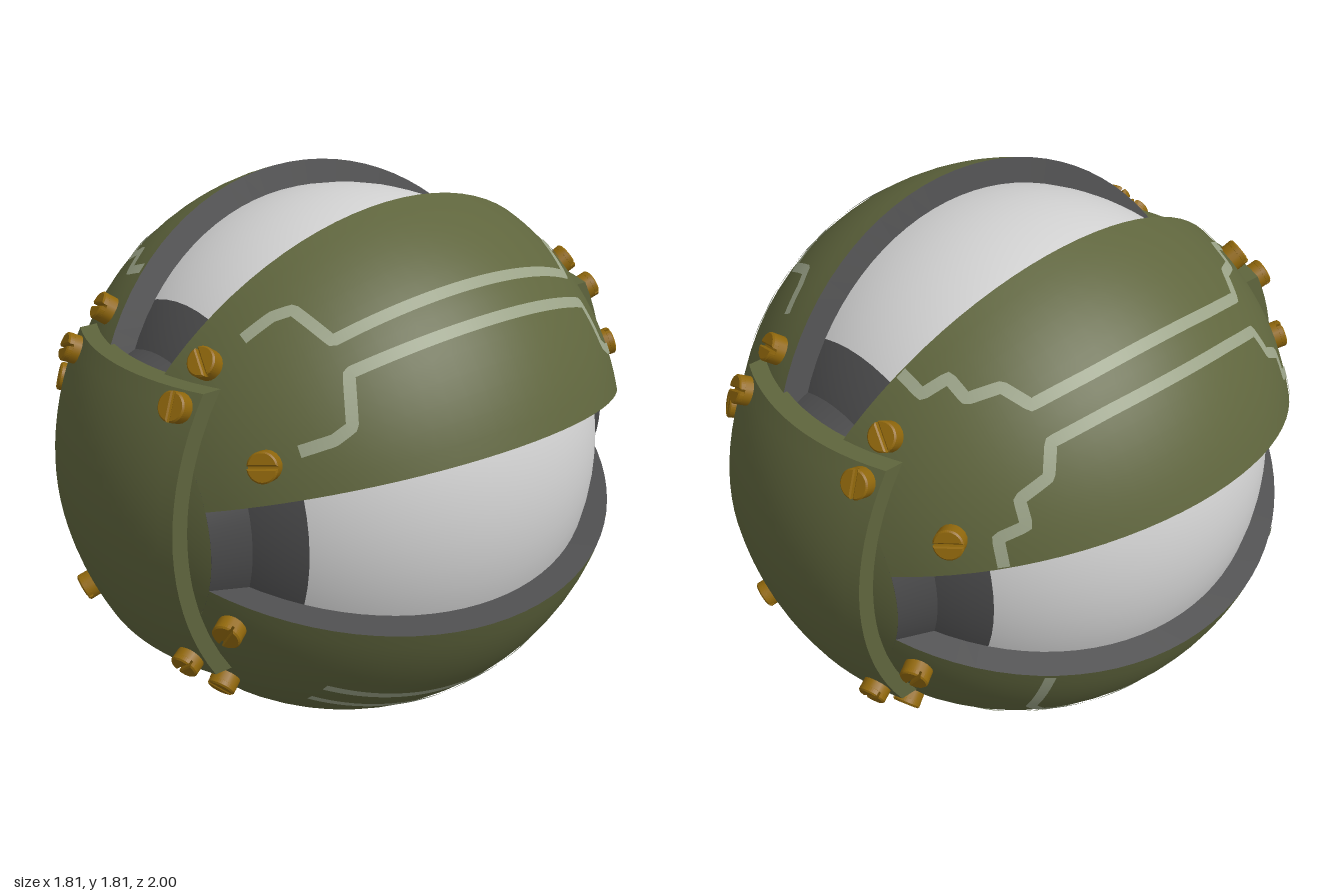
import * as THREE from 'three';

const CY = 0.905, R = 0.952, RI = 0.868, RAD = Math.PI / 180;
const mat = (name, color, side = THREE.FrontSide) => {
  const m = new THREE.MeshStandardMaterial({ color, side });
  m.name = name;
  return m;
};

export function createModel() {
  const olive = mat('olive', 0x5f653d);
  const dark = mat('darkGrey', 0x4b4b4c, THREE.DoubleSide);
  const pale = mat('paleGrey', 0xd2d2d2);
  const brass = mat('brass', 0x91680c);
  const paint = mat('palePaint', 0x9aa287, THREE.DoubleSide);

  const model = new THREE.Group();
  model.name = 'armouredSphere';
  const body = new THREE.Group();
  body.name = 'body';
  body.position.y = CY;
  model.add(body);
  const add = (name, geo, material, parent = body) => {
    const m = new THREE.Mesh(geo, material);
    m.name = name;
    parent.add(m);
    return m;
  };
  // Moves every vertex of a geometry by a rule
  const warp = (geo, rule) => {
    const p = geo.attributes.position, v = new THREE.Vector3();
    for (let i = 0; i < p.count; i++) {
      rule(v.fromBufferAttribute(p, i));
      p.setXYZ(i, v.x, v.y, v.z);
    }
    geo.computeVertexNormals();
    return geo;
  };
  // Point on a sphere whose poles lie on z
  const onSphere = (r, az, theta, v = new THREE.Vector3()) => v.set(
    r * Math.sin(theta) * Math.cos(az), r * Math.sin(theta) * Math.sin(az), r * Math.cos(theta));
  const band = (r, t0, t1, rows) =>
    new THREE.SphereGeometry(r, 64, rows, 0, Math.PI * 2, t0, t1 - t0).rotateX(Math.PI / 2);

  // Inner core: pale belt with dark ends
  const tCore = Math.acos(0.62 / RI);
  add('coreBelt', band(RI, tCore, Math.PI - tCore, 24), pale);
  add('coreFrontEnd', band(RI, 0, tCore, 10), dark);
  add('coreBackEnd', band(RI, Math.PI - tCore, Math.PI, 10), dark);

  // Four shell segments with slots between them
  const tCap = Math.asin(0.43 / R);
  for (let q = 0; q < 4; q++) {
    const geo = warp(new THREE.BoxGeometry(1, 1, 1, 14, 32, 1), v =>
      onSphere(v.z > 0 ? R : 0.85, (45 + 90 * q + 54 * v.x) * RAD,
        Math.PI / 2 - v.y * (Math.PI - 2 * tCap), v));
    add('shellSegment' + q, geo, [dark, dark, dark, dark, olive, dark]);
  }

  // Bolt head with a screwdriver slot
  const half = new THREE.Shape();
  half.absarc(0, 0, 0.042, 0.2, Math.PI - 0.2, false);
  half.closePath();
  const halfGeo = new THREE.ExtrudeGeometry(half, {
    depth: 0.014, bevelEnabled: true, bevelSize: 0.005, bevelThickness: 0.005, bevelSegments: 1, curveSegments: 10
  }).rotateX(-Math.PI / 2);
  const shankGeo = new THREE.CylinderGeometry(0.047, 0.047, 0.06, 18);
  const up = new THREE.Vector3(0, 1, 0);
  const addBolt = (parent, x, y, r, spin) => {
    const bolt = new THREE.Group();
    bolt.name = 'bolt';
    const n = new THREE.Vector3(x, y, Math.sqrt(r * r - x * x - y * y));
    bolt.position.copy(n);
    bolt.quaternion.setFromUnitVectors(up, n.clone().normalize());
    bolt.rotateY(spin);
    add('boltShank', shankGeo, brass, bolt).position.y = -0.01;
    for (const s of [0, 1]) {
      const h = add('boltHeadHalf', halfGeo, brass, bolt);
      h.position.y = 0.02;
      h.rotation.y = s * Math.PI;
    }
    parent.add(bolt);
  };

  // Front and back ends: polar cap, slot end wall, raised plate and bolts
  const shellBolts = [
    [-0.28, 0.545], [-0.445, 0.275], [0.29, 0.535], [0.55, 0.3],
    [-0.535, -0.345], [-0.265, -0.595], [0.455, -0.26], [0.295, -0.555]
  ];
  const plateGeo = warp(new THREE.BoxGeometry(0.71, 0.956, 1, 14, 18, 1), v => {
    const r = v.z > 0 ? 1 : 0.94;
    v.z = Math.sqrt(r * r - v.x * v.x - v.y * v.y);
  });
  const wallGeo = new THREE.LatheGeometry(
    [new THREE.Vector2(0.472, 0.725), new THREE.Vector2(0.43, 0.849)], 64).rotateX(Math.PI / 2);
  ['front', 'back'].forEach((name, i) => {
    const end = new THREE.Group();
    end.name = name + 'End';
    end.rotation.y = i * Math.PI;
    body.add(end);
    add('polarCap', band(R, 0, tCap, 8), olive, end);
    add('slotEndWall', wallGeo, dark, end);
    add('plate', plateGeo, olive, end);
    shellBolts.forEach(([x, y], k) => addBolt(end, x, y, 0.962, k * 1.3));
    for (const x of [-0.3, 0.3]) for (const y of [-0.422, 0.432]) addBolt(end, x, y, 1.005, 0.6 + x * 3 + y);
  });

  // Painted stripes: [degrees from the segment's middle, z], mirrored front to back
  const paths = [
    [[3.7, 0], [3.7, 0.25], [3.7, 0.48], [14, 0.52], [15.5, 0.57], [15.5, 0.65]],
    [[3.7, 0], [3.7, 0.25], [4, 0.43], [10, 0.47], [12, 0.555], [18, 0.56], [19, 0.63], [26.5, 0.635]],
    [[3.7, 0], [3.7, 0.25], [4, 0.45], [8, 0.5], [26.5, 0.52]],
    [[3.7, 0], [3.7, 0.25], [4.2, 0.55]]
  ];
  const ribbon = (points, width) => {
    const line = new THREE.CurvePath();
    for (let i = 1; i < points.length; i++) line.add(new THREE.LineCurve3(points[i - 1], points[i]));
    const r = R + 0.004, n = 140;
    const pts = line.getSpacedPoints(n).map(p => p.setLength(r));
    const pos = [], index = [];
    pts.forEach((p, i) => {
      const t = pts[Math.min(n, i + 1)].clone().sub(pts[Math.max(0, i - 1)]);
      const side = t.cross(p).setLength(width / 2);
      for (const s of [-1, 1]) pos.push(...p.clone().addScaledVector(side, s).setLength(r).toArray());
      const a = 2 * i;
      if (i < n) index.push(a, a + 1, a + 2, a + 1, a + 3, a + 2);
    });
    const geo = new THREE.BufferGeometry();
    geo.setAttribute('position', new THREE.Float32BufferAttribute(pos, 3));
    geo.setIndex(index);
    geo.computeVertexNormals();
    return geo;
  };
  paths.forEach((path, q) => {
    const full = [...path.slice(1).reverse().map(([d, z]) => [d, -z]), ...path];
    for (const s of [-1, 1]) {
      const pts = full.map(([d, z]) => onSphere(R, (45 + 90 * q + s * d) * RAD, Math.acos(z / R)));
      add('stripe', ribbon(s > 0 ? pts : pts.reverse(), 0.037), paint);
    }
  });

  return model;
}
